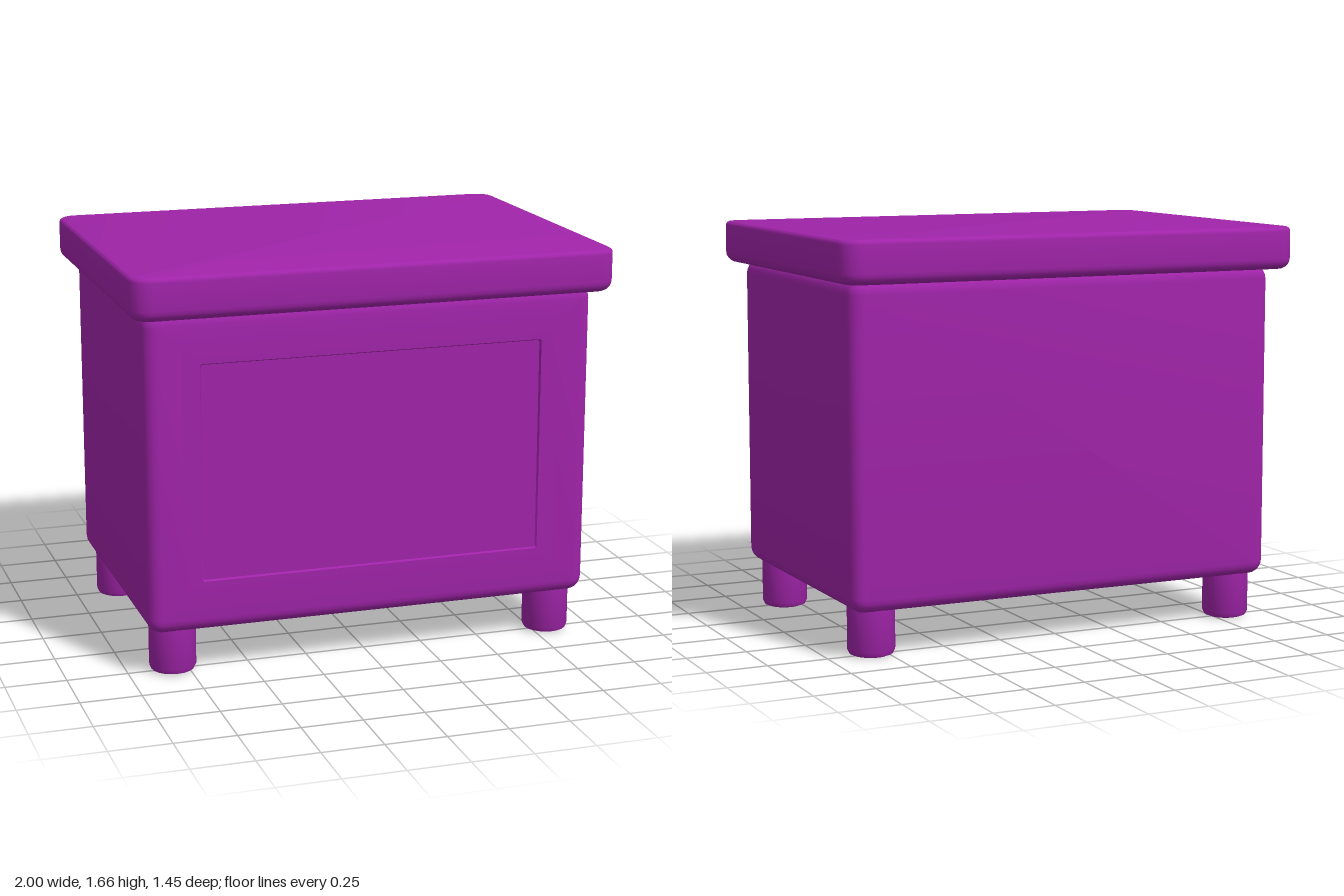
import * as THREE from 'three';
import { toCreasedNormals } from 'three/addons/utils/BufferGeometryUtils.js';

const STEPS = 5; // segments per rounded corner

// Counter-clockwise rounded rectangle at depth z
function ring([hw, hh, r, z]) {
  const points = [];
  [[1, 1], [-1, 1], [-1, -1], [1, -1]].forEach(([sx, sy], corner) => {
    for (let i = 0; i <= STEPS; i++) {
      const a = (corner + i / STEPS) * Math.PI / 2;
      points.push([sx * (hw - r) + r * Math.cos(a), sy * (hh - r) + r * Math.sin(a), z]);
    }
  });
  return points;
}

// Skin through rounded rectangles from low z to high z, with flat end caps
function loft(sections) {
  const rings = sections.map(ring), n = rings[0].length, index = [];
  for (let k = 0; k < rings.length - 1; k++) {
    for (let i = 0; i < n; i++) {
      const a = k * n + i, b = k * n + (i + 1) % n;
      index.push(a, b, b + n, a, b + n, a + n);
    }
  }
  const last = (rings.length - 1) * n;
  for (let i = 1; i < n - 1; i++) {
    index.push(0, i + 1, i, last, last + i, last + i + 1);
  }
  const geo = new THREE.BufferGeometry();
  geo.setAttribute('position', new THREE.Float32BufferAttribute(rings.flat(2), 3));
  geo.setIndex(index);
  return toCreasedNormals(geo, 0.6);
}

// Sections of a block whose lower and upper edges are rounded by their own radius
function roundedSections(hw, hh, corner, z0, z1, low, high) {
  const out = [];
  const add = (radius, z, t) => {
    const inset = radius * (1 - Math.cos(t));
    out.push([hw - inset, hh - inset, Math.max(corner - inset, 0.004), z + radius * Math.sin(t)]);
  };
  for (let i = 0; i <= STEPS; i++) add(low, z0 + low, -Math.PI / 2 * (1 - i / STEPS));
  for (let i = 0; i <= STEPS; i++) add(high, z1 - high, Math.PI / 2 * i / STEPS);
  return out;
}

export function createModel() {
  const model = new THREE.Group();
  const purple = new THREE.MeshStandardMaterial({ color: 0xa024a9 });
  purple.name = 'purple';
  const add = (name, geo, x, y, z) => {
    const mesh = new THREE.Mesh(geo, purple);
    mesh.name = name;
    mesh.position.set(x, y, z);
    model.add(mesh);
    return mesh;
  };

  // Body, with a shallow recessed panel in the front face
  const body = roundedSections(0.935, 0.655, 0.06, -0.625, 0.625, 0.055, 0.055);
  body.push([0.715, 0.445, 0.01, 0.625], [0.71, 0.44, 0.01, 0.615]);
  add('body', loft(body), 0, 0.845, 0);

  // Overhanging lid, rounder underneath than on top
  const lid = loft(roundedSections(1, 0.725, 0.08, 1.485, 1.66, 0.045, 0.02));
  lid.rotateX(-Math.PI / 2);
  add('lid', lid, 0, 0, 0);

  // Four round feet with softened bottom edges
  const profile = [[0, 0], [0.07, 0], [0.088, 0.007], [0.096, 0.025], [0.096, 0.22]]
    .map(([r, y]) => new THREE.Vector2(r, y));
  const foot = toCreasedNormals(new THREE.LatheGeometry(profile, 20), 0.6);
  for (const [zName, z] of [['front', 0.495], ['back', -0.495]]) {
    for (const [xName, x] of [['Left', 0.813], ['Right', -0.813]]) {
      add(zName + xName + 'Foot', foot, x, 0, z);
    }
  }
  return model;
}
